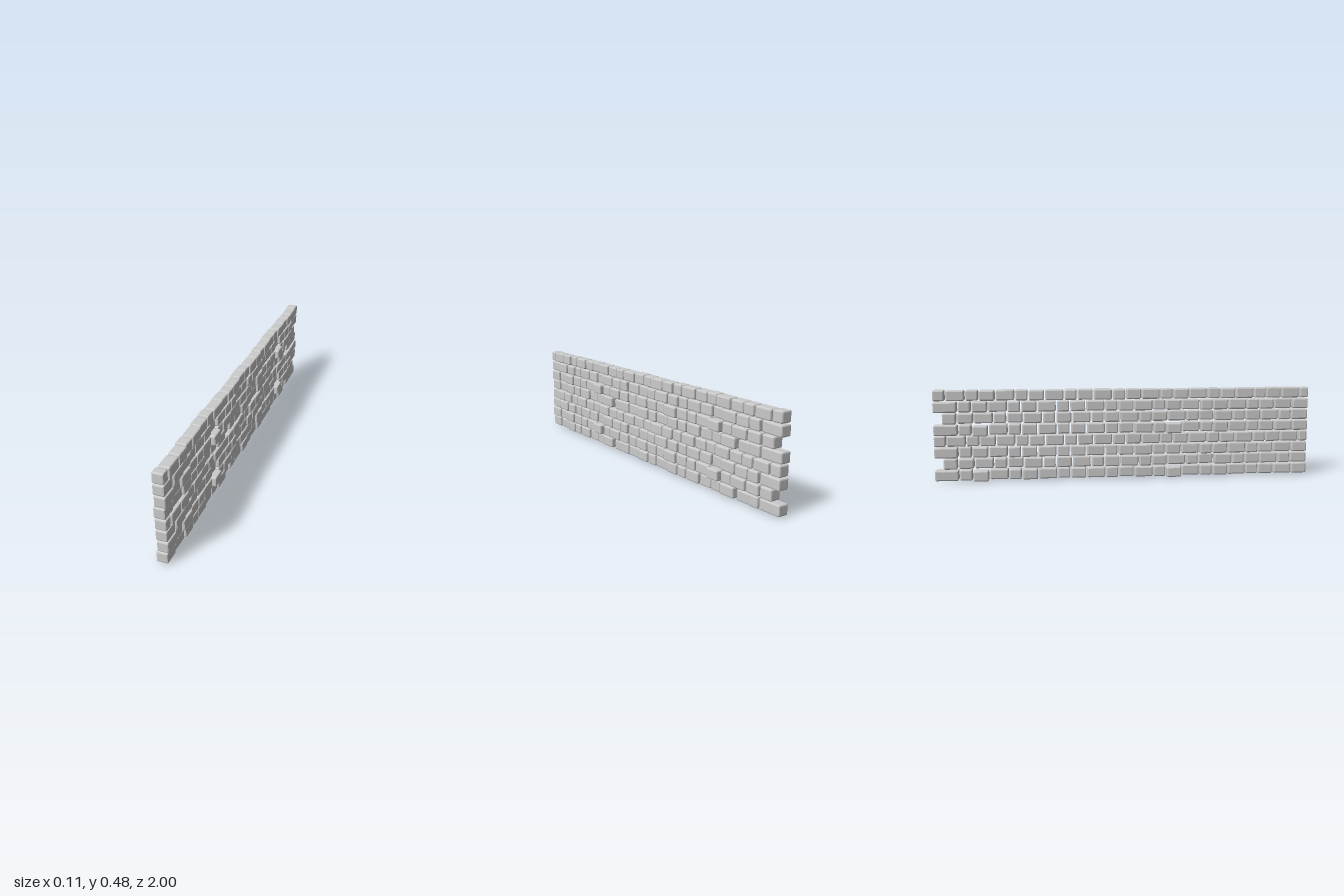
import * as THREE from 'three';
import { RoundedBoxGeometry } from 'three/addons/geometries/RoundedBoxGeometry.js';

const LONG = 0.101, MEDIUM = 0.085, SHORT = 0.0695; // brick pitches along the wall
const GAP = 0.007;
const PITCH = 0.0595; // course height
const THICK = 0.057;
const CYCLE = [LONG, MEDIUM, SHORT];
const HALF_TILE = 12; // the irregularities repeat every 12 bricks

// one entry per course of the repeating four: first bricks, next size in the cycle, end of the course, depth offset
const COURSES = [
  { first: [0.09], next: 0, end: -1, dx: -0.003 },
  { first: [0.097, 0.069], next: 0, end: -0.955, dx: 0.003 },
  { first: [0.092], next: 0, end: -1, dx: 0 },
  { first: [0.052], next: 0, end: -1, dx: 0 },
];

// Small repeatable variation in the range -1 to 1
function vary(a, b, c) {
  const s = Math.sin(a * 12.99 + b * 78.23 + c * 37.72) * 43758.55;
  return (s - Math.floor(s)) * 2 - 1;
}

// Brick start and end positions of one course, from z = 1 towards z = -1
function layCourse({ first, next, end }) {
  const spans = [];
  let z = 1;
  for (let i = 0; z > end + 0.01; i++) {
    const size = i < first.length ? first[i] : CYCLE[(next + i - first.length) % 3];
    let stop = z - size;
    if (stop - end < 0.045) stop = end - GAP; // last brick fills the course
    spans.push([z, stop + GAP]);
    z = stop;
  }
  return spans;
}

export function createModel() {
  const wall = new THREE.Group();
  wall.name = 'brickWall';
  const material = new THREE.MeshStandardMaterial({ color: 0xcccccc, flatShading: true });

  for (let row = 0; row < 8; row++) {
    const kind = row % 4;
    const course = new THREE.Group();
    course.name = 'course' + (row + 1);

    layCourse(COURSES[kind]).forEach(([z0, z1], i) => {
      const k = i % HALF_TILE;
      const z = (z0 + z1) / 2;
      const height = 0.055 + 0.0015 * vary(k, kind, 1);
      const brick = new THREE.Mesh(
        new RoundedBoxGeometry(THICK, height, z0 - z1, 1, 0.007), material);
      brick.name = 'brick';

      // the wall leans gently to one side along its length
      let x = 0.002 + 0.01 * z + COURSES[kind].dx;
      let y = 0.0345 + row * PITCH;
      if (i > 0) {
        x += 0.006 * vary(k, kind, 2);
        y += 0.001 * vary(k, kind, 3);
        brick.rotation.set(0.008 * vary(k, kind, 4), 0.02 * vary(k, kind, 5), 0.02 * vary(k, kind, 6));
      }
      // loose bricks that stick out of the face
      if (kind === 0 && k === 8) { x -= 0.018; y -= 0.006; }
      if (kind === 1 && k === 6) x += 0.014;
      if (kind === 2 && k === 6) x -= 0.011;
      brick.position.set(x, y, z);
      course.add(brick);
    });
    wall.add(course);
  }

  // stand the wall on the ground
  wall.position.y = -new THREE.Box3().setFromObject(wall, true).min.y;
  return wall;
}
